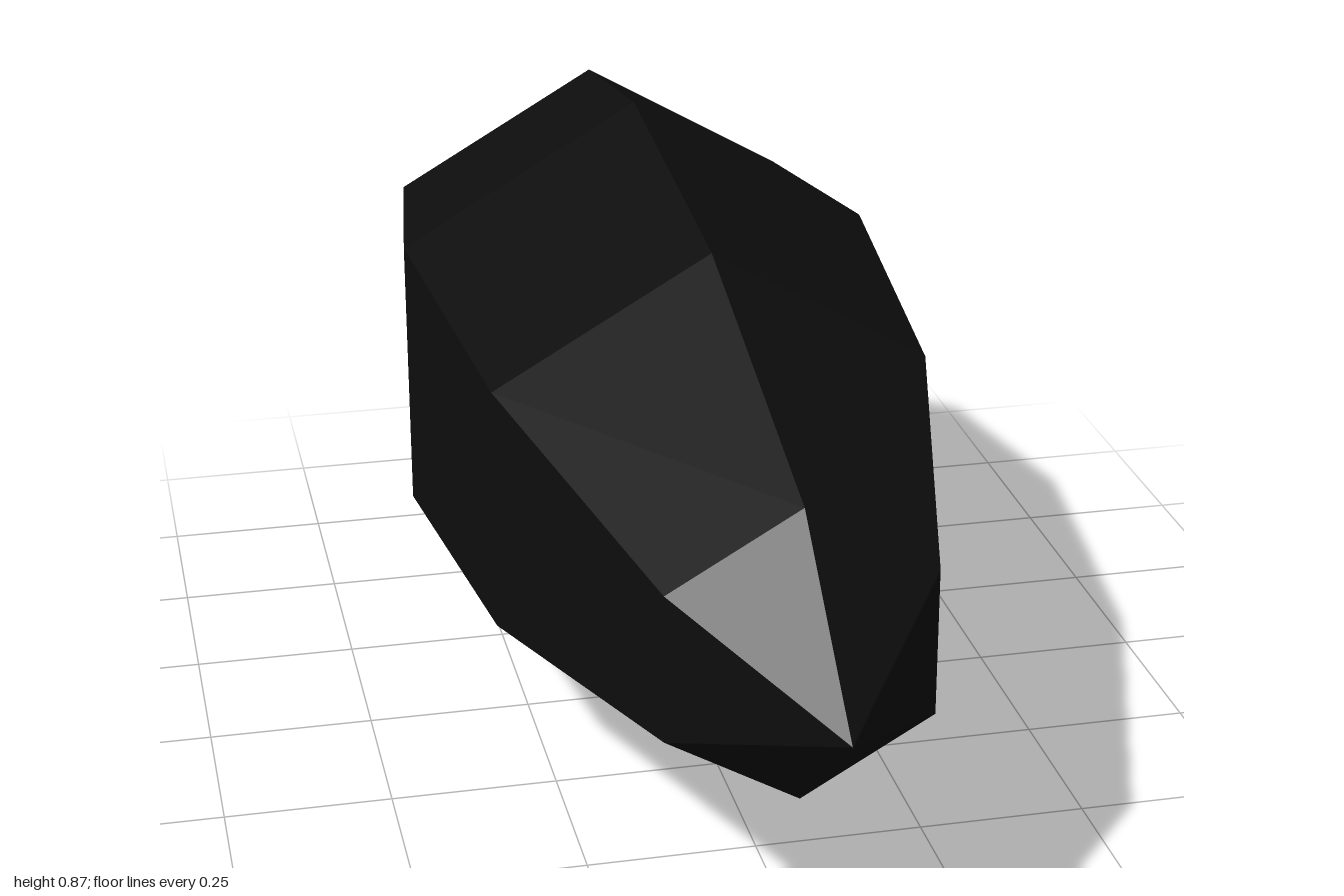
import * as THREE from 'three';

export function createModel() {
  const group = new THREE.Group();
  const radius = 0.435;

  // Station along the length (back to front); radii follow a six-step half circle
  const stations = [-1, -0.94, -0.74, -0.355, 0.2, 0.745, 1];
  const profile = stations.map((z, i) =>
    new THREE.Vector2(radius * Math.sin((i * Math.PI) / 6), z));
  profile[0].x = profile[6].x = 0;

  // Six-sided teardrop body lying along z, with ridges at top and bottom
  const geometry = new THREE.LatheGeometry(profile, 6);
  geometry.rotateX(Math.PI / 2);
  geometry.translate(0, radius, 0);

  const body = new THREE.Mesh(
    geometry,
    new THREE.MeshStandardMaterial({ color: 0x0d0d0d, flatShading: true }));
  body.name = 'teardropBody';
  group.add(body);
  return group;
}
